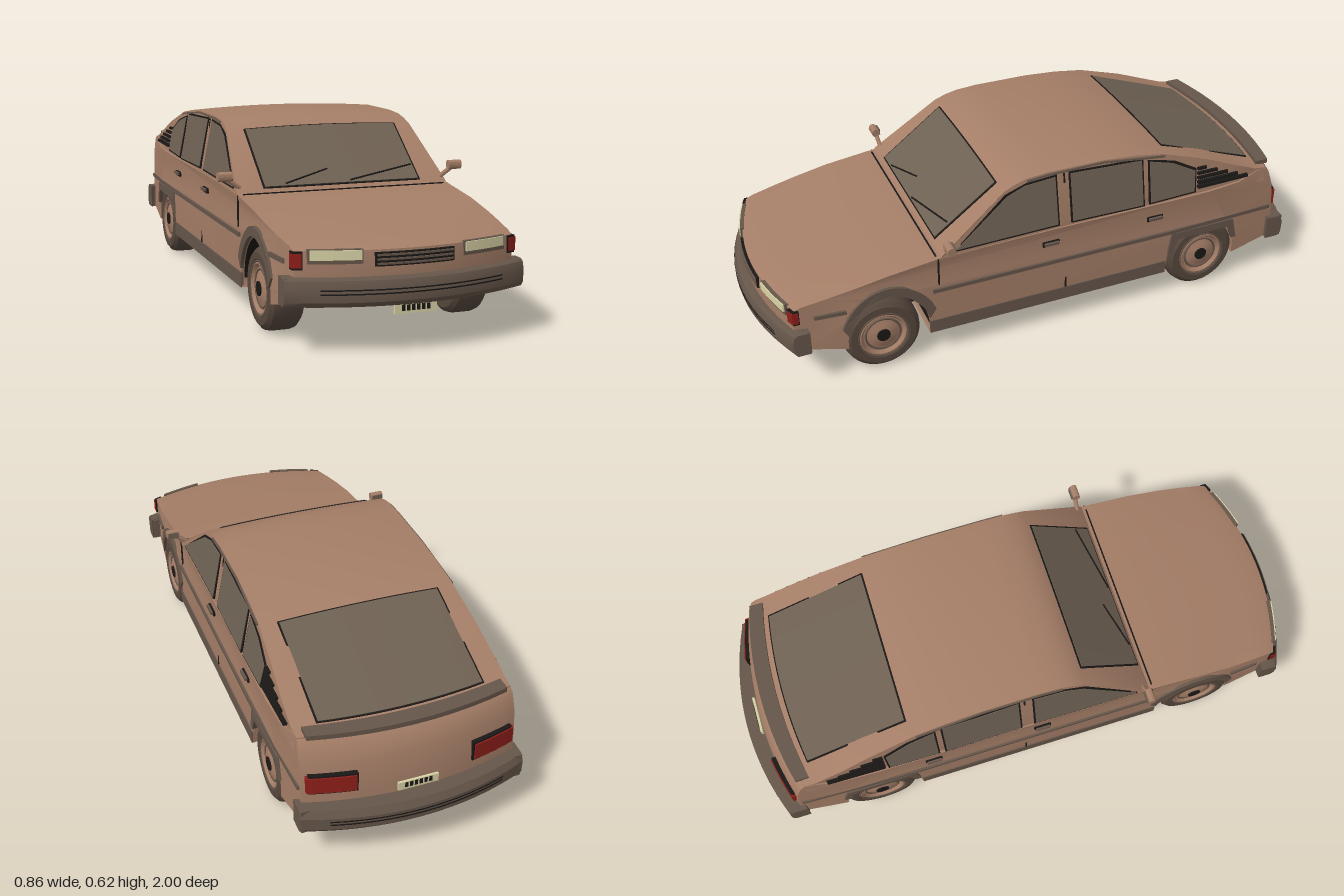
import * as THREE from 'three';
import { toCreasedNormals } from 'three/addons/utils/BufferGeometryUtils.js';

const material = (name, color) => {
  const m = new THREE.MeshStandardMaterial({ color, side: THREE.DoubleSide });
  m.name = name;
  return m;
};
const paint = material('body paint', 0xa57e67);
const glass = material('window glass', 0x6e6153);
const trim = material('dark trim', 0x66564a);
const rubber = material('tyre rubber', 0x57483d);
const black = material('black', 0x1b1816);
const cream = material('cream lens', 0xd9d3a6);
const red = material('red lens', 0x8f1f1a);

const clamp = THREE.MathUtils.clamp;

// half width of the car at a height and length
const halfWidth = (y, z) => {
  const nose = clamp((z - 0.6) / 0.35, 0, 1), tail = clamp((-0.6 - z) / 0.35, 0, 1);
  return 0.371 - 0.02 * nose ** 2 - 0.015 * tail ** 2 - 0.2 * Math.max(0, y - 0.4);
};
// plan curve of the nose and tail
const bend = (x, z) => z > 0.5 ? z - 0.55 * x * x * (z - 0.5) / 0.45
  : z < -0.6 ? z + 0.45 * x * x * (-0.6 - z) / 0.35 : z;

const reshape = (geo, rule) => {
  const p = geo.attributes.position;
  for (let i = 0; i < p.count; i++) p.setXYZ(i, ...rule(p.getX(i), p.getY(i), p.getZ(i)));
  geo.computeVertexNormals();
  return geo;
};
// side profile in (z, y), swept across x
const sweep = (shape, width, steps = 1) => {
  const s = Array.isArray(shape) ? new THREE.Shape(shape.map(p => new THREE.Vector2(...p))) : shape;
  return new THREE.ExtrudeGeometry(s, { depth: width, steps, bevelEnabled: false, curveSegments: 18 })
    .translate(0, 0, -width / 2).rotateY(-Math.PI / 2);
};
// follow the plan curve and the crowned roof; x is -1..1 when scaled
const wrap = (geo, scaled) => toCreasedNormals(reshape(geo, (x, y, z) => {
  const w = halfWidth(y, z), wx = scaled ? x * w : x;
  const crown = 0.012 * (1 - (wx / w) ** 2) * clamp((y - 0.45) / 0.15, 0, 1);
  return [wx, y + crown, bend(wx, z)];
}), 0.5);
const rect = (z0, z1, y0, y1) => [[z0, y0], [z1, y0], [z1, y1], [z0, y1]];

export function createModel() {
  const car = new THREE.Group();
  car.name = 'car';
  const add = (name, geo, mat, parent = car) => {
    const m = new THREE.Mesh(geo, mat);
    m.name = name;
    parent.add(m);
    return m;
  };
  const box = (name, w, h, d, x, y, z, mat) =>
    add(name, new THREE.BoxGeometry(w, h, d).translate(x, y, z), mat);
  // plate on both flanks
  const sidePlate = (name, pts, mat, d = 0.009) => {
    for (const s of [-1, 1]) add(name, reshape(sweep(pts, d), (x, y, z) => {
      const wx = s * halfWidth(y, z) + x;
      return [wx, y, bend(wx, z)];
    }), mat);
  };
  // plate across the nose or tail, curved with it
  const endPlate = (name, x0, x1, y0, y1, z, mat, d = 0.014) => add(name, reshape(
    new THREE.BoxGeometry(x1 - x0, y1 - y0, d, 10).translate((x0 + x1) / 2, (y0 + y1) / 2, z),
    (x, y, zz) => [x, y, bend(x, zz)]), mat);
  const rod = (name, a, b, r, mat) => {
    const p = new THREE.Vector3(...a), q = new THREE.Vector3(...b);
    return add(name, new THREE.TubeGeometry(new THREE.LineCurve3(p, q), 1, r, 6), mat);
  };

  // lower body with wheel arches
  const lower = new THREE.Shape();
  lower.moveTo(0.95, 0.15);
  [[0.965, 0.235], [0.957, 0.31], [0.93, 0.319], [0.85, 0.332], [0.75, 0.348], [0.6, 0.371], [0.4, 0.394],
    [0, 0.4], [-0.45, 0.4], [-0.6, 0.402], [-0.75, 0.41], [-0.85, 0.436], [-0.885, 0.434], [-0.9, 0.42],
    [-0.925, 0.36], [-0.94, 0.25], [-0.94, 0.14], [-0.75, 0.107], [-0.75, 0.18], [-0.72, 0.25], [-0.7, 0.27],
    [-0.49, 0.27], [-0.46, 0.23], [-0.445, 0.1], [0.447, 0.1]].forEach(p => lower.lineTo(...p));
  lower.absarc(0.605, 0.13, 0.165, Math.PI + 0.1, -0.1, true);
  lower.closePath();
  add('lowerBody', wrap(sweep(lower, 2, 16), true), paint);

  // cabin and roof
  add('cabin', wrap(sweep([[0.405, 0.385], [0.39, 0.402], [0.16, 0.572], [0.12, 0.588], [0.08, 0.598], [0, 0.604],
    [-0.2, 0.603], [-0.32, 0.594], [-0.43, 0.577], [-0.6, 0.522], [-0.72, 0.48], [-0.83, 0.444],
    [-0.88, 0.438], [-0.88, 0.39]], 2, 16), true), paint);

  // windscreen and rear window with dark surrounds
  const pane = (name, a, b, w, lift, mat) => {
    const n = new THREE.Vector2(b[1] - a[1], a[0] - b[0]).normalize().multiplyScalar(lift);
    if (n.y < 0) n.negate();
    add(name, wrap(sweep([a, b, [b[0] + n.x, b[1] + n.y], [a[0] + n.x, a[1] + n.y]], w, 12), false), mat);
  };
  pane('windscreenSeal', [0.386, 0.405], [0.163, 0.57], 0.556, 0.003, black);
  pane('windscreen', [0.382, 0.408], [0.167, 0.567], 0.544, 0.005, glass);
  pane('rearWindowSeal', [-0.445, 0.572], [-0.825, 0.4455], 0.558, 0.003, black);
  pane('rearWindow', [-0.45, 0.5703], [-0.82, 0.4472], 0.546, 0.005, glass);
  const onScreen = (x, y) => [x, y, 0.399 - (y - 0.405) * 1.35];
  rod('wiper', onScreen(0.027, 0.418), onScreen(0.265, 0.452), 0.003, black);
  rod('wiper', onScreen(-0.2, 0.418), onScreen(-0.04, 0.452), 0.003, black);
  endPlate('cowlSeam', -0.355, 0.355, 0.388, 0.396, 0.41, black, 0.005);

  // side windows, each over a slightly larger seal
  const sideWindow = (name, pts) => {
    const c = pts.reduce((s, p) => [s[0] + p[0] / pts.length, s[1] + p[1] / pts.length], [0, 0]);
    const seal = pts.map(([z, y]) => [z + Math.sign(z - c[0]) * 0.006, y + Math.sign(y - c[1]) * 0.006]);
    sidePlate(name + 'Seal', seal, black, 0.006);
    sidePlate(name, pts, glass, 0.01);
  };
  sideWindow('frontSideWindow', [[0.345, 0.412], [0.155, 0.554], [0.09, 0.578], [-0.02, 0.585], [-0.02, 0.417]]);
  sideWindow('rearSideWindow', [[-0.075, 0.586], [-0.075, 0.417], [-0.34, 0.413], [-0.34, 0.574]]);
  sideWindow('quarterWindow', [[-0.37, 0.564], [-0.37, 0.415], [-0.54, 0.42], [-0.545, 0.495], [-0.46, 0.54]]);
  for (let i = 0; i < 5; i++) {
    const y = 0.426 + i * 0.017;
    sidePlate('quarterLouvre', rect(-0.555, -0.79 + i * 0.05, y, y + 0.009), black, 0.014);
  }
  sidePlate('roofGutter', [[-0.43, 0.574], [-0.2, 0.6], [0, 0.6], [0.08, 0.594], [0.08, 0.588], [0, 0.594],
    [-0.2, 0.594], [-0.43, 0.567]], trim, 0.01);

  // flank mouldings, sills, seams and handles
  sidePlate('sideMoulding', rect(-0.945 + 0.02, -0.45, 0.262, 0.276), trim, 0.014);
  sidePlate('sideMoulding', rect(-0.45, 0.43, 0.262, 0.276), trim, 0.014);
  sidePlate('sideMoulding', rect(0.77, 0.89, 0.262, 0.276), trim, 0.014);
  sidePlate('sill', rect(-0.445, 0.445, 0.099, 0.147), trim, 0.008);
  sidePlate('doorSeam', rect(-0.056, -0.05, 0.147, 0.59), black, 0.007);
  sidePlate('frontDoorSeam', rect(0.405, 0.41, 0.29, 0.392), black, 0.005);
  for (const z of [0.005, -0.39]) {
    sidePlate('handleRecess', rect(z - 0.03, z + 0.03, 0.337, 0.355), black, 0.007);
    sidePlate('doorHandle', rect(z - 0.026, z + 0.026, 0.344, 0.353), trim, 0.024);
  }
  sidePlate('rearArchSkirt', [[-0.76, 0.18], [-0.735, 0.18], [-0.715, 0.234], [-0.49, 0.234], [-0.468, 0.18],
    [-0.45, 0.18], [-0.462, 0.262], [-0.735, 0.262]], trim, 0.016);
  const lip = new THREE.Shape();
  lip.absarc(0.605, 0.13, 0.195, 0.35, Math.PI - 0.35, false);
  lip.absarc(0.605, 0.13, 0.163, Math.PI - 0.2, 0.2, true);
  sidePlate('frontArchLip', lip, trim, 0.012);

  // wheel wells, floor and running gear
  box('frontWell', 0.48, 0.16, 0.33, 0, 0.22, 0.605, black);
  box('rearWell', 0.48, 0.14, 0.32, 0, 0.215, -0.6, black);
  box('rearWellRoof', 0.72, 0.008, 0.24, 0, 0.27, -0.595, black);
  add('frontWellLiner', new THREE.CylinderGeometry(0.162, 0.162, 0.725, 20, 1, true, 0, Math.PI)
    .rotateZ(Math.PI / 2).translate(0, 0.13, 0.605), black);
  box('engineSump', 0.26, 0.08, 0.2, 0, 0.15, 0.62, paint);
  rod('rearAxle', [-0.27, 0.133, -0.595], [0.27, 0.133, -0.595], 0.03, paint);
  rod('frontAxle', [-0.27, 0.133, 0.605], [0.27, 0.133, 0.605], 0.02, trim);

  // wheels
  const lathe = pts => toCreasedNormals(
    new THREE.LatheGeometry(pts.map(p => new THREE.Vector2(...p)), 32).rotateZ(-Math.PI / 2), 0.5);
  for (const s of [-1, 1]) for (const z of [0.605, -0.595]) {
    const wheel = new THREE.Group();
    wheel.name = 'wheel';
    add('tyre', lathe([[0.084, -0.05], [0.092, -0.057], [0.114, -0.056], [0.128, -0.044], [0.133, -0.025],
      [0.133, 0.025], [0.128, 0.044], [0.114, 0.056], [0.092, 0.057], [0.084, 0.05]]), rubber, wheel);
    add('wheelDisc', lathe([[0, -0.035], [0.086, -0.035], [0.086, 0.052], [0.078, 0.055], [0.068, 0.045],
      [0.052, 0.046], [0.04, 0.052], [0, 0.053]]), paint, wheel);
    for (const r of [0.086, 0.06]) add('rimRing', new THREE.TorusGeometry(r, 0.004, 6, 32)
      .rotateY(Math.PI / 2).translate(r > 0.07 ? 0.053 : 0.045, 0, 0), trim, wheel);
    add('hubCap', new THREE.CylinderGeometry(0.023, 0.023, 0.01, 16).rotateZ(Math.PI / 2).translate(0.052, 0, 0), black, wheel);
    wheel.position.set(s * 0.311, 0.133, z);
    wheel.rotation.y = s < 0 ? Math.PI : 0;
    car.add(wheel);
  }

  // bumpers
  const bumper = (name, w, pts) => add(name, wrap(sweep(pts, w, 16), false), trim);
  bumper('frontBumper', 0.77, [[0.93, 0.15], [0.985, 0.15], [0.997, 0.165], [1, 0.205], [0.99, 0.228], [0.975, 0.234], [0.93, 0.234]]);
  bumper('rearBumper', 0.75, [[-0.92, 0.135], [-0.985, 0.135], [-0.998, 0.15], [-1, 0.195], [-0.985, 0.218], [-0.92, 0.222]]);
  for (const y of [0.188, 0.2]) {
    endPlate('frontBumperGroove', -0.29, 0.29, y, y + 0.004, 0.997, black, 0.008);
    endPlate('rearBumperGroove', -0.29, 0.29, y - 0.02, y - 0.016, -0.997, black, 0.008);
  }
  for (const s of [-1, 1]) {
    box('frontBumperEnd', 0.03, 0.08, 0.05, s * 0.367, 0.192, 0.875, trim);
    box('rearBumperEnd', 0.03, 0.085, 0.06, s * 0.357, 0.178, -0.895, trim);
  }

  // nose: grille, headlamps, side lamps, number plate
  endPlate('grille', -0.125, 0.125, 0.262, 0.303, 0.96, black);
  for (const y of [0.27, 0.283, 0.296]) endPlate('grilleBar', -0.12, 0.12, y - 0.003, y + 0.003, 0.966, trim, 0.01);
  for (const s of [-1, 1]) {
    const span = (a, b) => s > 0 ? [a, b] : [-b, -a];
    endPlate('headlampSurround', ...span(0.16, 0.315), 0.272, 0.315, 0.958, trim);
    endPlate('headlamp', ...span(0.165, 0.31), 0.284, 0.313, 0.963, cream);
    endPlate('sideLampSurround', ...span(0.329, 0.358), 0.256, 0.309, 0.956, black, 0.024);
    endPlate('sideLamp', ...span(0.333, 0.36), 0.262, 0.304, 0.96, red, 0.024);
    endPlate('tailLampSurround', ...span(0.19, 0.338), 0.258, 0.328, -0.935, black, 0.022);
    endPlate('tailLamp', ...span(0.196, 0.345), 0.264, 0.322, -0.938, red, 0.026);
  }
  const numberPlate = (y, z) => {
    const d = Math.sign(z);
    box('numberPlate', 0.134, 0.03, 0.008, 0, y, z, cream);
    for (let i = 0; i < 6; i++) box('plateMark', 0.01, 0.018, 0.004, -0.04 + i * 0.016, y + 0.003, z + d * 0.004, black);
  };
  numberPlate(0.132, 0.962);
  numberPlate(0.248, -0.946);

  // rear lip
  endPlate('rearLip', -0.33, 0.33, 0.438, 0.455, -0.872, trim, 0.055);

  // door mirrors
  for (const s of [-1, 1]) {
    rod('mirrorStalk', [s * 0.355, 0.41, 0.375], [s * 0.4, 0.442, 0.378], 0.008, paint);
    const house = add('mirrorHousing', toCreasedNormals(new THREE.CylinderGeometry(0.016, 0.016, 0.046, 12)
      .rotateZ(Math.PI / 2), 0.6), paint);
    house.position.set(s * 0.408, 0.45, 0.38);
    house.scale.z = 0.9;
    box('mirrorGlass', 0.038, 0.022, 0.004, s * 0.408, 0.45, 0.365, glass);
  }
  return car;
}
